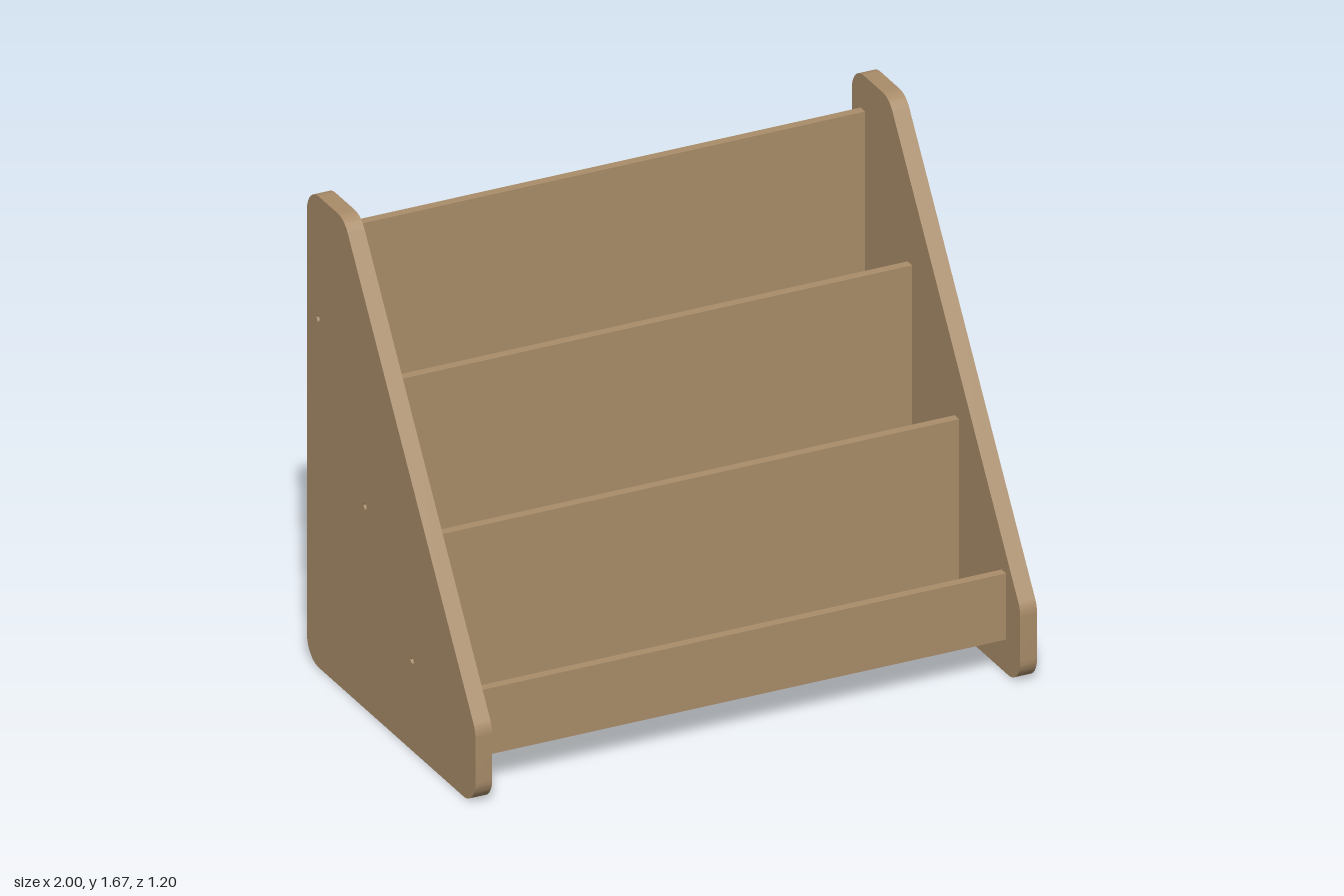
import * as THREE from 'three';
import { toCreasedNormals } from 'three/addons/utils/BufferGeometryUtils.js';

const wood = new THREE.MeshStandardMaterial({ color: 0xaa8d6a });

// Closed counter-clockwise polygon with every corner rounded to the same radius
function roundedPolygon(corners, radius) {
  const shape = new THREE.Shape();
  const n = corners.length;
  corners.forEach((c, i) => {
    const a = c.clone().sub(corners[(i + n - 1) % n]).normalize();
    const b = corners[(i + 1) % n].clone().sub(c).normalize();
    const turn = Math.acos(a.dot(b));
    const start = c.clone().addScaledVector(a, -radius * Math.tan(turn / 2));
    const center = start.clone().add(new THREE.Vector2(-a.y, a.x).multiplyScalar(radius));
    const from = Math.atan2(start.y - center.y, start.x - center.x);
    shape.absarc(center.x, center.y, radius, from, from + turn, false);
  });
  shape.closePath();
  return shape;
}

const sideThickness = 0.06;

// Sloping end panel with three small hexagonal screw holes
function sideGeometry() {
  const corners = [[-0.6, 0], [0.6, 0], [0.6, 0.27], [-0.335, 1.675], [-0.6, 1.675]];
  const shape = roundedPolygon(corners.map(([z, y]) => new THREE.Vector2(z, y)), 0.085);
  for (const [z, y] of [[0.15, 0.32], [-0.185, 0.72], [-0.52, 1.24]]) {
    const points = [];
    for (let i = 0; i < 6; i++) {
      const t = -i * Math.PI / 3;
      points.push(new THREE.Vector2(z + 0.012 * Math.cos(t), y + 0.012 * Math.sin(t)));
    }
    shape.holes.push(new THREE.Path(points));
  }
  const geometry = new THREE.ExtrudeGeometry(shape, {
    depth: sideThickness, bevelEnabled: false, curveSegments: 10,
  });
  geometry.rotateY(-Math.PI / 2);
  return toCreasedNormals(geometry, 0.5);
}

export function createModel() {
  const group = new THREE.Group();
  const add = (name, geometry, x, y, z) => {
    const mesh = new THREE.Mesh(geometry, wood);
    mesh.name = name;
    mesh.position.set(x, y, z);
    group.add(mesh);
  };
  // Full-width board given by its y and z extents
  const board = (name, y0, y1, z0, z1) => add(name,
    new THREE.BoxGeometry(2 - 2 * sideThickness, y1 - y0, z1 - z0),
    0, (y0 + y1) / 2, (z0 + z1) / 2);

  const side = sideGeometry();
  add('leftSide', side, 1, 0, 0);
  add('rightSide', side, -1 + sideThickness, 0, 0);

  // Low lip in front of the first tier
  board('frontLip', 0.12, 0.355, 0.468, 0.5);

  // Three stepped tiers, each a shelf with a tall back
  const rise = 0.398, run = 0.335, thick = 0.032;
  for (let i = 0; i < 3; i++) {
    const y = i * rise;
    const front = 0.468 - i * run;
    const back = front - run + thick;
    board('shelf' + (i + 1), y + 0.11, y + 0.142, back, front);
    board('backBoard' + (i + 1), y + 0.12, y + 0.755, back - thick, back);
  }
  return group;
}
